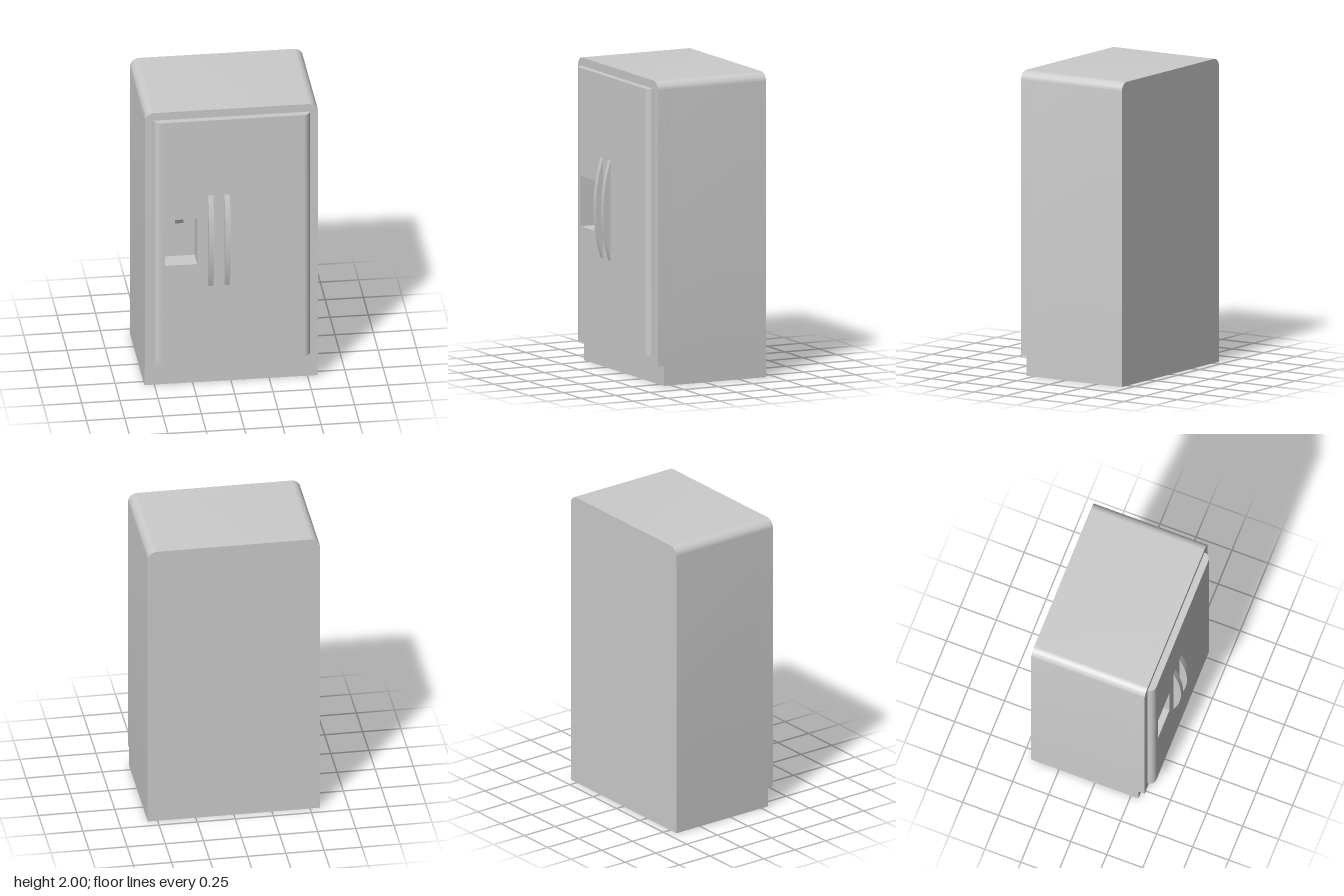
import * as THREE from 'three';
import { toCreasedNormals } from 'three/addons/utils/BufferGeometryUtils.js';

const BACK = -0.443, FRONT = 0.345, DOOR = 0.389; // depth planes
const HALF_W = 0.565, KICK_H = 0.13;
const RECESS = { x0: -0.44, x1: -0.23, y0: 0.905, y1: 1.235, z: 0.255 };
const DOOR_W = 0.51, DOOR_Y0 = 0.192, DOOR_Y1 = 1.945;

const material = new THREE.MeshStandardMaterial({ color: 0xcccccc });

function add(parent, name, geometry) {
  const mesh = new THREE.Mesh(geometry, material);
  mesh.name = name;
  parent.add(mesh);
  return mesh;
}

function extrude(shape, depth) {
  const geometry = new THREE.ExtrudeGeometry(shape, { depth, bevelEnabled: false, curveSegments: 12 });
  return toCreasedNormals(geometry, 0.5);
}

// Box given by its two opposite corners
function boxBetween(x0, x1, y0, y1, z0, z1) {
  return new THREE.BoxGeometry(x1 - x0, y1 - y0, z1 - z0)
    .translate((x0 + x1) / 2, (y0 + y1) / 2, (z0 + z1) / 2);
}

// Profile drawn in (z, y), given thickness along x from x0 to x1
function sideProfile(shape, x0, x1) {
  return extrude(shape, x1 - x0).rotateY(-Math.PI / 2).translate(x1, 0, 0);
}

// Cabinet outline with rounded top corners
function cabinetShape(bottom) {
  const r = 0.06, s = new THREE.Shape();
  s.moveTo(-HALF_W, bottom);
  s.lineTo(HALF_W, bottom);
  s.lineTo(HALF_W, 2 - r);
  s.absarc(HALF_W - r, 2 - r, r, 0, Math.PI / 2);
  s.lineTo(-HALF_W + r, 2);
  s.absarc(-HALF_W + r, 2 - r, r, Math.PI / 2, Math.PI);
  s.closePath();
  return s;
}

// Full-height door strip with one rounded vertical edge (side is -1 or 1)
function doorStrip(side, inner) {
  const r = DOOR - FRONT, s = new THREE.Shape();
  const cx = side * (DOOR_W - r);
  s.moveTo(inner, -FRONT);
  s.lineTo(side * DOOR_W, -FRONT);
  for (let i = 1; i <= 12; i++) {
    const a = (i / 12) * Math.PI / 2;
    s.lineTo(cx + side * r * Math.cos(a), -FRONT - r * Math.sin(a));
  }
  s.lineTo(inner, -DOOR);
  s.closePath();
  return extrude(s, DOOR_Y1 - DOOR_Y0).rotateX(-Math.PI / 2).translate(0, DOOR_Y0, 0);
}

export function createModel() {
  const model = new THREE.Group();
  model.name = 'refrigerator';

  // Cabinet: solid rear, then a front section pierced by the dispenser recess
  const cabinet = new THREE.Group();
  cabinet.name = 'cabinet';
  add(cabinet, 'cabinetRear', extrude(cabinetShape(0), RECESS.z - BACK).translate(0, 0, BACK));
  const frontShape = cabinetShape(KICK_H);
  frontShape.holes.push(new THREE.Path([
    new THREE.Vector2(RECESS.x0, RECESS.y0), new THREE.Vector2(RECESS.x0, RECESS.y1),
    new THREE.Vector2(RECESS.x1, RECESS.y1), new THREE.Vector2(RECESS.x1, RECESS.y0),
  ]));
  add(cabinet, 'cabinetFront', extrude(frontShape, FRONT - RECESS.z).translate(0, 0, RECESS.z));
  add(cabinet, 'kickPlate', boxBetween(-HALF_W, HALF_W, 0, KICK_H, RECESS.z, 0.302));
  model.add(cabinet);

  // Door panel around the recess opening
  const door = new THREE.Group();
  door.name = 'door';
  add(door, 'doorLeftStrip', doorStrip(1, RECESS.x1));
  add(door, 'doorRightStrip', doorStrip(-1, RECESS.x0));
  add(door, 'doorAboveDispenser', boxBetween(RECESS.x0, RECESS.x1, RECESS.y1, DOOR_Y1, FRONT, DOOR));
  add(door, 'doorBelowDispenser', boxBetween(RECESS.x0, RECESS.x1, DOOR_Y0, RECESS.y0, FRONT, DOOR));
  model.add(door);

  // Wedge-shaped spout under the recess ceiling
  const spout = new THREE.Shape([
    new THREE.Vector2(RECESS.z, 1.14),
    new THREE.Vector2(0.31, RECESS.y1),
    new THREE.Vector2(RECESS.z, RECESS.y1),
  ]);
  add(model, 'dispenserSpout', sideProfile(spout, -0.36, -0.305));

  // Two bowed handles
  const halfH = 0.33, sag = 0.052, midY = 1.07;
  const radius = (halfH * halfH + sag * sag) / (2 * sag);
  const sweep = Math.asin(halfH / radius);
  const bow = new THREE.Shape();
  bow.absarc(DOOR + sag - radius, midY, radius, -sweep, sweep);
  bow.closePath();
  for (const x of [-0.143, -0.035]) {
    add(model, 'handle', sideProfile(bow, x - 0.0175, x + 0.0175));
  }

  return model;
}
